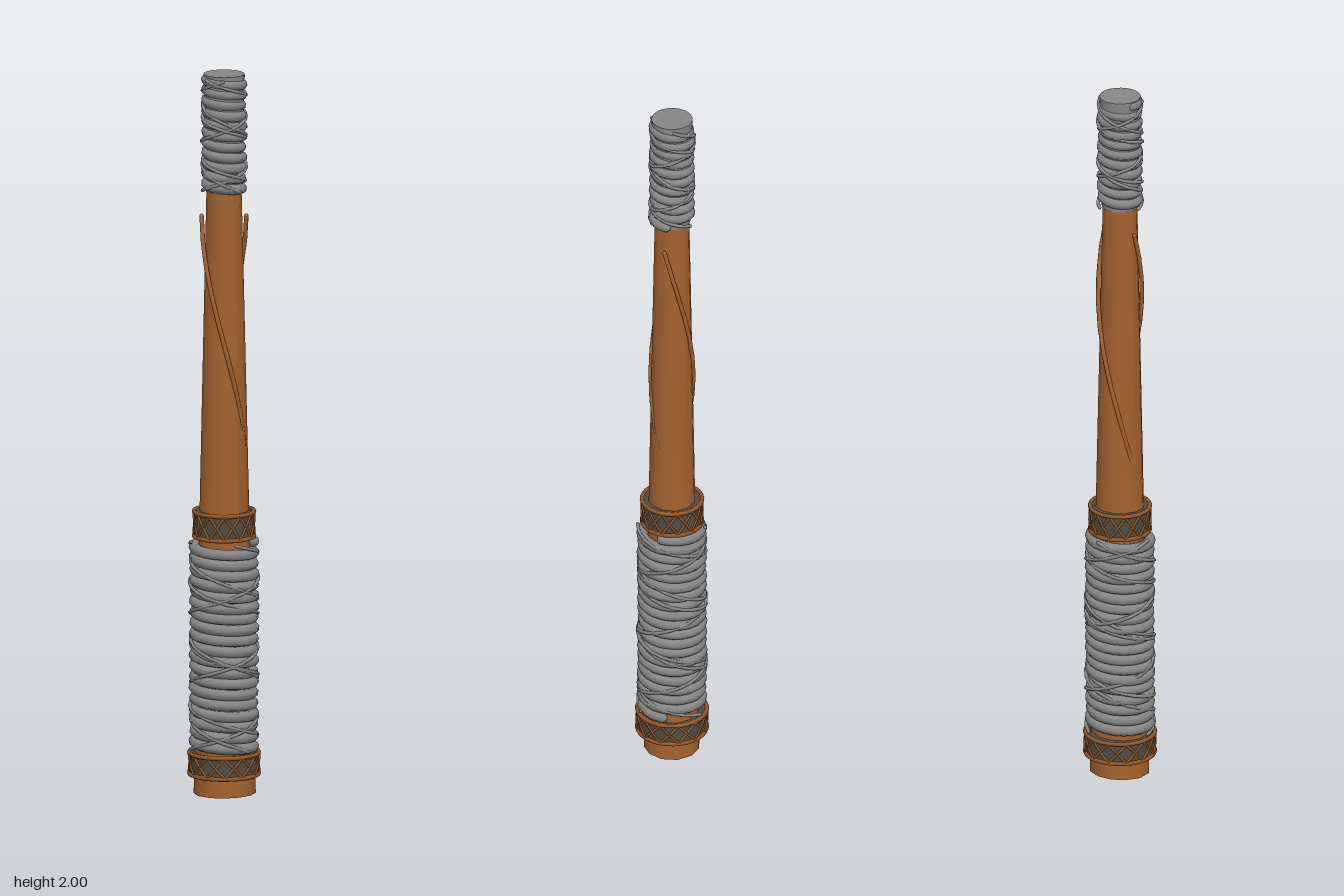
import * as THREE from 'three';

const paint = (name, color) => {
  const m = new THREE.MeshStandardMaterial({ color });
  m.name = name;
  return m;
};

export function createModel() {
  const root = new THREE.Group();
  root.name = 'wrappedClub';
  const wood = paint('wood', 0xa4622f);
  const cord = paint('greyCord', 0x868686);
  const leather = paint('darkLeather', 0x4c4c47);
  const trim = paint('brownTrim', 0x935526);

  const add = (name, geometry, material, parent = root) => {
    const mesh = new THREE.Mesh(geometry, material);
    mesh.name = name;
    parent.add(mesh);
    return mesh;
  };

  // Tube that follows a helix: radius may be a function of t
  const helix = (name, o, material, parent = root) => {
    const points = [];
    const n = Math.max(8, Math.ceil(Math.abs(o.turns) * 20));
    for (let i = 0; i <= n; i++) {
      const t = i / n;
      const a = (o.start || 0) + o.turns * Math.PI * 2 * t;
      const r = typeof o.radius === 'function' ? o.radius(t) : o.radius;
      points.push(new THREE.Vector3(r * Math.cos(a), o.y0 + (o.y1 - o.y0) * t, r * Math.sin(a)));
    }
    const curve = new THREE.CatmullRomCurve3(points);
    add(name, new THREE.TubeGeometry(curve, n, o.thick, o.sides || 6), material, parent);
    // Rounded tips
    for (const p of [points[0], points[n]]) {
      add(name + 'Tip', new THREE.SphereGeometry(o.thick, 8, 6), material, parent).position.copy(p);
    }
  };

  // Tapered wooden shaft with a slightly uneven hand-cut section
  const shaft = new THREE.CylinderGeometry(0.047, 0.086, 1.72, 12, 6);
  shaft.translate(0, 0.86, 0);
  const pos = shaft.attributes.position;
  for (let i = 0; i < pos.count; i++) {
    const x = pos.getX(i), y = pos.getY(i), z = pos.getZ(i);
    const a = Math.atan2(z, x);
    const k = Math.max(0, 1 - y / 1.7);
    const s = 1 - k * (0.055 - 0.04 * Math.cos(2 * a) + 0.035 * Math.sin(2 * a));
    pos.setXYZ(i, x * s + 0.002 * k, y, z * s);
  }
  add('shaft', shaft, wood);

  // Two raised strands spiralling half a turn around the shaft
  for (const start of [Math.PI, 0]) {
    helix('spiralStrand', {
      radius: (t) => 0.057 + 0.004 * (1 - t), start, turns: -0.5,
      y0: 1.605, y1: 0.9, thick: 0.006, sides: 8,
    }, wood);
  }

  // Cord wraps: one tight coil and looser crossing cords over it
  const wrap = (name, y0, y1, radius, thick, turns, crossings) => {
    const g = new THREE.Group();
    g.name = name;
    root.add(g);
    helix('coil', {
      radius: (t) => radius + 0.0012 * Math.sin(t * 47) + 0.0008 * Math.sin(t * 113),
      turns, y0: y0 + thick, y1: y1 - thick, thick, sides: 8,
    }, cord, g);
    [1, -1, 1].forEach((dir, i) => {
      helix('crossingCord', {
        radius: (t) => radius + thick - 0.003 + 0.0015 * Math.sin(t * 31 + i),
        start: 0.8 + i * 2.1, turns: dir * (crossings + i * 0.4),
        y0: y0 + 0.012, y1: y1 - 0.012, thick: 0.005,
      }, cord, g);
    });
    return g;
  };
  wrap('gripWrap', 0.115, 0.715, 0.08, 0.0155, 19, 2.6);
  const tip = wrap('tipWrap', 1.667, 2, 0.048, 0.0145, 10.5, 1.8);

  // Solid flat end of the tip wrap
  const core = add('tipCore', new THREE.CylinderGeometry(0.056, 0.05, 0.325, 24), cord, tip);
  core.position.y = 1.8375;

  // Bands: dark sleeve, two rims and a criss-cross lattice
  const band = (name, y0, y1, r) => {
    const g = new THREE.Group();
    g.name = name;
    root.add(g);
    const h = y1 - y0;
    const sleeve = add('sleeve', new THREE.CylinderGeometry(r - 0.006, r - 0.006, h - 0.008, 32), leather, g);
    sleeve.position.y = (y0 + y1) / 2;
    for (const y of [y0 + 0.006, y1 - 0.006]) {
      const rim = add('rim', new THREE.TorusGeometry(r - 0.006, 0.006, 8, 32), trim, g);
      rim.rotation.x = Math.PI / 2;
      rim.position.y = y;
    }
    const count = 12;
    for (let i = 0; i < count; i++) {
      for (const dir of [1, -1]) {
        helix('latticeStrip', {
          radius: r - 0.005, start: (i / count) * Math.PI * 2, turns: dir / count,
          y0: y0 + 0.008, y1: y1 - 0.008, thick: 0.0035, sides: 5,
        }, trim, g);
      }
    }
  };
  band('lowerBand', 0.05, 0.12, 0.101);
  band('upperBand', 0.71, 0.79, 0.088);

  return root;
}
